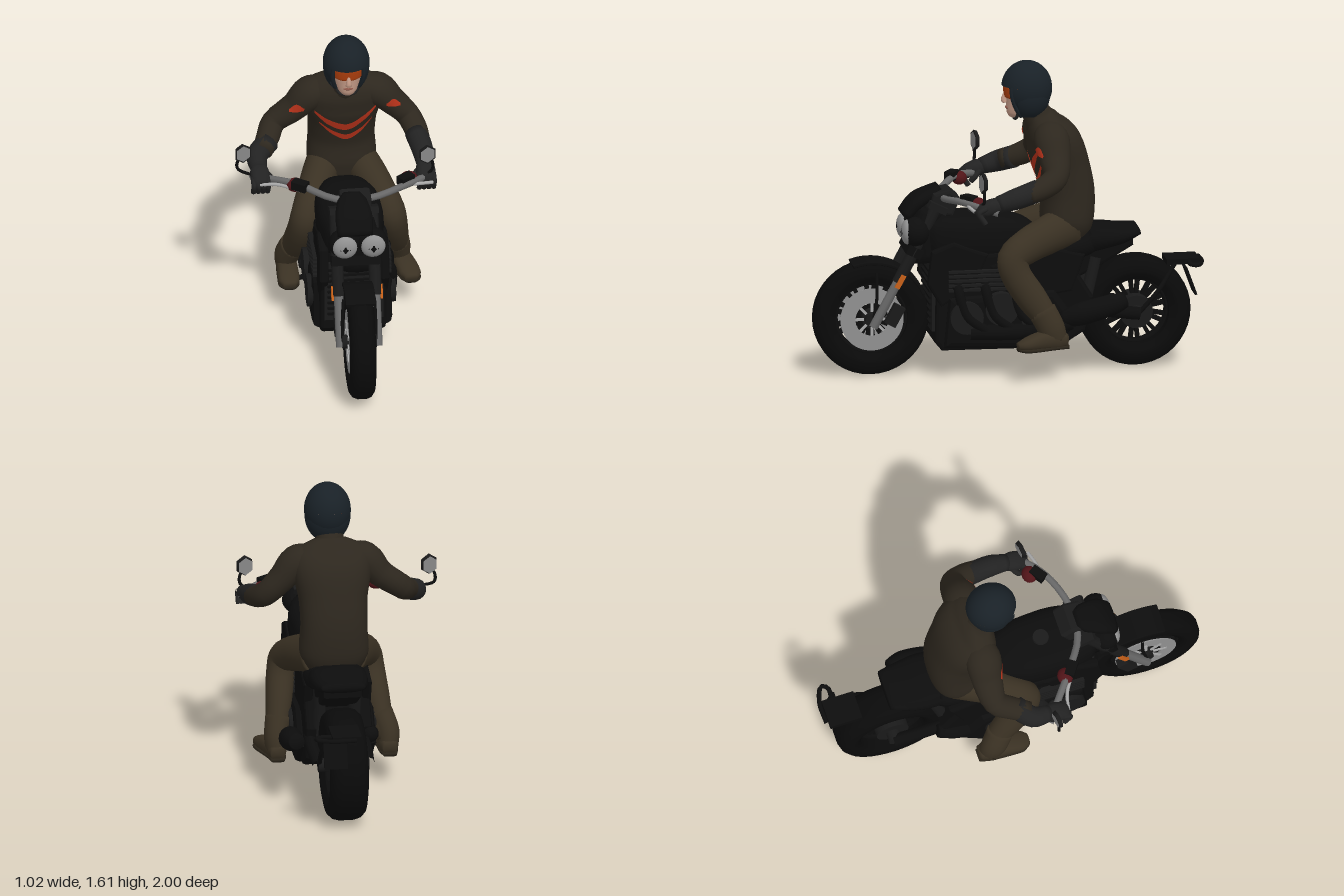
import * as THREE from 'three';

const V = (a) => new THREE.Vector3(a[0], a[1], a[2]);
const BLACK = 0x0d0d0d, TYRE = 0x0a0a0a, STEEL = 0x1a1a1a, BAR = 0x686868, CHROME = 0xa8a8a8, SUIT = 0x2d271e,
  TROUSER = 0x3a3123, GLOVE = 0x222222, HELMET = 0x192127, RED = 0xb8321a, SKIN = 0xc49a86;

function add(parent, name, geo, color, pos, rot, scale, thin) {
  const m = new THREE.Mesh(geo, new THREE.MeshStandardMaterial({ color, side: thin ? THREE.DoubleSide : THREE.FrontSide }));
  m.name = name;
  if (pos) m.position.set(...pos);
  if (rot) m.rotation.set(...rot);
  if (scale) m.scale.set(...scale);
  parent.add(m);
  return m;
}
function group(parent, name, pos) {
  const g = new THREE.Group();
  g.name = name;
  g.position.set(...pos);
  parent.add(g);
  return g;
}

// Smooth skin through rings [x, y, z, half width, half depth]; p > 2 squares the section off
function loft(rings, p = 2, seg = 16, steps = 4) {
  const path = new THREE.CatmullRomCurve3(rings.map(V));
  const radii = new THREE.CatmullRomCurve3(rings.map((r) => V([r[3], r[4] ?? r[3], 0])));
  const n = (rings.length - 1) * steps, pos = [], idx = [];
  const bend = (v) => Math.sign(v) * Math.abs(v) ** (2 / p);
  for (let i = 0; i <= n; i++) {
    const c = path.getPoint(i / n), r = radii.getPoint(i / n), t = path.getTangent(i / n);
    const s = new THREE.Vector3(1, 0, 0).addScaledVector(t, -t.x).normalize();
    const o = t.clone().cross(s);
    for (let j = 0; j < seg; j++) {
      const a = (j / seg) * Math.PI * 2;
      pos.push(...c.clone().addScaledVector(s, bend(Math.cos(a)) * r.x).addScaledVector(o, bend(Math.sin(a)) * r.y).toArray());
    }
  }
  for (let i = 0; i < n; i++) for (let j = 0; j < seg; j++) {
    const k = (j + 1) % seg, a = i * seg, b = a + seg;
    idx.push(a + j, a + k, b + k, a + j, b + k, b + j);
  }
  pos.push(...path.getPoint(0).toArray(), ...path.getPoint(1).toArray());
  const c0 = (n + 1) * seg;
  for (let j = 0; j < seg; j++) {
    const k = (j + 1) % seg;
    idx.push(c0, k, j, c0 + 1, n * seg + j, n * seg + k);
  }
  const g = new THREE.BufferGeometry();
  g.setAttribute('position', new THREE.Float32BufferAttribute(pos, 3));
  g.setIndex(idx);
  g.computeVertexNormals();
  return g;
}
const tube = (pts, r) => new THREE.TubeGeometry(new THREE.CatmullRomCurve3(pts.map(V)), 20, r, 8);
const ball = () => new THREE.SphereGeometry(1, 20, 14);
const axle = (r, w, n = 24) => new THREE.CylinderGeometry(r, r, w, n).rotateZ(Math.PI / 2);

// Side outline of (z, y) points, extruded across x
function slab(pts, width, bevel = 0.015) {
  const g = new THREE.ExtrudeGeometry(new THREE.Shape(pts.map((p) => new THREE.Vector2(...p))),
    { depth: width - 2 * bevel, bevelSize: bevel, bevelThickness: bevel, bevelSegments: 2 });
  return g.translate(0, 0, bevel - width / 2).rotateY(-Math.PI / 2);
}
const arc = (r, a0, a1, n = 12) => Array.from({ length: n + 1 }, (_, i) => {
  const a = a0 + (a1 - a0) * i / n;
  return [r * Math.cos(a), r * Math.sin(a)];
});

function wheel(parent, name, R, w, rim, hub, z, y) {
  const g = group(parent, name, [0, y, z]);
  const half = [[rim, .75], [rim + .03, .95], [R - .07, 1], [R - .035, .93], [R - .012, .7], [R - .002, .35]]
    .map(([r, k]) => [r, k * w / 2]);
  const prof = [...half.map(([r, x]) => [r, -x]), ...half.reverse(), [rim, -.375 * w]];
  add(g, 'tyre', new THREE.LatheGeometry(prof.map((p) => new THREE.Vector2(...p)), 40).rotateZ(Math.PI / 2), TYRE, null, null, null, true);
  add(g, 'rim', new THREE.TorusGeometry(rim - .005, .013, 8, 40).rotateY(Math.PI / 2), BLACK, null, null, [2.5, 1, 1]);
  add(g, 'hub', axle(hub, w * .8), STEEL);
  add(g, 'axleEnd', axle(.035, w * 1.3), STEEL);
  for (let i = 0; i < 20; i++) {
    const a = Math.floor(i / 2) * Math.PI / 5 + (i % 2 ? .12 : -.12);
    add(g, 'spoke', new THREE.BoxGeometry(.035, rim, .02), BLACK, [0, Math.cos(a) * rim / 2, Math.sin(a) * rim / 2], [a, 0, 0]);
  }
  return g;
}

function buildBike(bike) {
  const steer = group(bike, 'frontEnd', [-.004, 0, 0]);
  steer.rotation.y = -.02;
  const body = group(bike, 'engineAndTank', [-.013, 0, 0]);
  const front = wheel(steer, 'frontWheel', .298, .135, .185, .05, .702, .304);
  wheel(bike, 'rearWheel', .288, .2, .17, .085, -.652, .298);
  const disc = new THREE.Shape().absarc(0, 0, .162, 0, Math.PI * 2);
  disc.holes.push(new THREE.Path().absarc(0, 0, .085, 0, Math.PI * 2, true));
  for (const s of [-1, 1]) {
    // Brake discs and fork legs
    add(front, 'brakeDisc', new THREE.ExtrudeGeometry(disc, { depth: .006, bevelEnabled: false, curveSegments: 24 }).rotateY(Math.PI / 2), 0x909090, [s * .06, 0, 0]);
    for (let i = 0; i < 8; i++) {
      const a = i * Math.PI / 4;
      add(front, 'discArm', new THREE.BoxGeometry(.008, .07, .014), CHROME, [s * .06, Math.cos(a) * .075, Math.sin(a) * .075], [a, 0, 0]);
    }
    add(steer, 'forkLower', tube([[s * .095, .27, .7], [s * .095, .4, .63], [s * .095, .53, .56]], .024), BAR);
    add(steer, 'forkUpper', tube([[s * .095, .5, .575], [s * .095, .68, .48], [s * .095, .88, .38]], .031), STEEL);
    add(steer, 'brakeCaliper', new THREE.BoxGeometry(.045, .11, .06), STEEL, [s * .095, .33, .59], [-.5, 0, 0]);
    add(steer, 'reflector', new THREE.BoxGeometry(.012, .075, .026), 0xc86018, [s * .125, .51, .565], [-.5, 0, 0]);
    add(steer, 'fenderStay', tube([[s * .079, .55, .68], [s * .085, .42, .68], [s * .085, .3, .7]], .008), BLACK);
    // Headlamps
    add(bike, 'headlampShell', ball(), BLACK, [s * .072, .76, .485], null, [.08, .076, .075]);
    add(bike, 'headlampLens', ball(), 0x909090, [s * .072, .76, .525], null, [.064, .064, .034]);
    // Rear linkage, footpegs and side panels
    add(bike, 'swingArm', tube([[s * .12, .34, -.25], [s * .135, .33, -.45], [s * .125, .3, -.66]], .034), BLACK);
    add(bike, 'shock', tube([[s * .09, .34, -.38], [s * .09, .6, -.44]], .032), STEEL);
    add(bike, 'footpeg', tube([[s * .17, .19, -.1], [s * .32, .18, -.1]], .014), BLACK);
    add(body, 'sideCover', slab([[.1, .58], [-.2, .66], [-.36, .62], [-.3, .45], [-.1, .42], [.08, .46]], .05), BLACK, [s * .15, 0, 0]);
    add(body, 'radiatorShroud', slab([[.4, .66], [.42, .5], [.36, .4], [.2, .5], [.14, .64], [.3, .7]], .05), BLACK, [s * .155, 0, 0]);
    for (const z of [.24, .06, -.12])
      add(body, 'engineCover', axle(.085, .05), STEEL, [s * .2, z === .06 ? .37 : .33, z]);
    for (let i = 0; i < 5; i++)
      add(body, 'coolingFin', new THREE.BoxGeometry(.05, .012, .38), STEEL, [s * .175, .47 + i * .024, .14]);
  }
  add(steer, 'frontFender', slab([...arc(.298, 1.25, 2.7), ...arc(.29, 2.7, 1.25)], .155, .005), BLACK, [0, .304, .702]);
  add(steer, 'lowerYoke', new THREE.BoxGeometry(.25, .05, .08), BLACK, [0, .66, .49], [-.45, 0, 0]);
  add(steer, 'upperYoke', new THREE.BoxGeometry(.25, .035, .1), STEEL, [0, .885, .37], [-.45, 0, 0]);
  add(bike, 'barClamp', slab([[.4, .86], [.3, .85], [.27, .92], [.31, .955], [.38, .94]], .16), STEEL);
  add(bike, 'headStock', loft([[0, .6, .42, .1, .09], [0, .76, .43, .11, .08], [0, .86, .4, .09, .06]], 3), BLACK);
  add(bike, 'instrumentCowl', loft([[-.02, .83, .53, .09, .03], [-.02, .9, .47, .095, .035], [-.02, .95, .38, .075, .03], [-.02, .975, .35, .045, .02]], 3), BLACK);

  // Engine, radiator, tank, seat
  add(body, 'engine', slab([[.37, .62], [.375, .2], [.35, .17], [-.24, .165], [-.36, .24], [-.4, .4], [-.3, .56], [-.1, .64]], .34, .02), BLACK);
  add(body, 'crankcase', slab([[.3, .4], [.32, .2], [-.2, .18], [-.3, .28], [-.2, .42]], .41, .03), BLACK);
  add(body, 'radiator', new THREE.BoxGeometry(.3, .34, .03), STEEL, [0, .42, .395]);
  for (let i = 0; i < 9; i++) add(body, 'radiatorSlat', new THREE.BoxGeometry(.27, .012, .012), BLACK, [0, .29 + i * .033, .414]);
  add(body, 'tank', loft([[0, .71, .425, .11, .1], [0, .715, .38, .145, .12], [0, .715, .22, .172, .125],
    [0, .712, .06, .165, .122], [0, .7, -.06, .125, .1], [0, .67, -.15, .09, .06]], 3, 24), BLACK);
  add(body, 'fuelCap', new THREE.CylinderGeometry(.04, .045, .014, 20), STEEL, [0, .84, .16]);
  add(bike, 'riderSeat', loft([[0, .64, -.08, .1, .06], [0, .64, -.22, .15, .06], [0, .66, -.36, .16, .07], [0, .69, -.43, .14, .07]], 2.7), BLACK);
  add(bike, 'pillionSeat', loft([[0, .67, -.36, .14, .07], [0, .69, -.46, .15, .066], [0, .7, -.58, .135, .045], [0, .72, -.67, .11, .02]], 2.7), BLACK);
  add(bike, 'subframe', slab([[-.2, .6], [-.62, .69], [-.62, .66], [-.45, .56], [-.25, .46]], .2), BLACK);

  // Exhaust on the left, smaller silencer on the right
  for (const z of [.28, .14, 0])
    add(bike, 'exhaustHeader', tube([[.14, .5, z], [.185, .47, z], [.2, .34, z - .04], [.2, .26, z - .14]], .026), BLACK);
  add(bike, 'collector', tube([[.18, .25, .22], [.2, .25, -.05], [.2, .29, -.3]], .042), BLACK);
  add(bike, 'silencer', loft([[.19, .3, -.25, .04], [.23, .34, -.36, .06], [.24, .38, -.5, .055], [.225, .4, -.57, .04]]), BLACK);
  add(bike, 'rightSilencer', loft([[-.16, .28, -.2, .035], [-.18, .33, -.33, .045], [-.17, .37, -.44, .035]]), BLACK);

  // Plate bracket hung over the rear tyre
  add(bike, 'bracketArm', new THREE.BoxGeometry(.15, .028, .17), BLACK, [.025, .556, -.89]);
  add(bike, 'bracketStay', tube([[.125, .3, -.655], [.125, .42, -.76], [.09, .55, -.85]], .012), BLACK);
  add(bike, 'tailLoop', tube([[-.02, .555, -.985], [.1, .555, -.985], [.18, .555, -.95], [.16, .555, -.92], [.02, .555, -.935]], .012), BLACK);
  add(bike, 'plate', new THREE.BoxGeometry(.12, .15, .012), BLACK, [.08, .46, -.925], [.35, 0, 0]);

  // Handlebar, levers and mirrors
  add(bike, 'handlebar', tube([[-.5, .92, .05], [-.42, .935, .11], [-.28, .96, .22], [-.1, .93, .33], [.08, .93, .34],
    [.25, .95, .28], [.37, .94, .19], [.42, .92, .11]], .018), BAR);
  for (const [s, hx, hz, mx, mz] of [[-1, -.45, .08, -.545, .075], [1, .39, .15, .385, .185]]) {
    add(bike, 'lever', tube([[s * .27, .94, .25], [hx * .85, .94, hz + .1], [hx * 1.05, .93, hz + .08]], .009), CHROME);
    add(bike, 'reservoir', new THREE.BoxGeometry(.08, .045, .05), BLACK, [s * .27, .965, .24], [0, s * .6, 0]);
    add(bike, 'switchBox', ball(), 0x501418, [s * .29, .945, .2], null, [.045, .035, .04]);
    add(bike, 'mirrorStalk', tube([[hx * .9, .94, hz + .05], [mx + s * .025, .98, mz], [mx + s * .025, 1.03, mz], [mx, 1.06, mz]], .008), BLACK);
    const mirror = group(bike, 'mirror', [mx, 1.075, mz]);
    mirror.rotation.y = .2;
    mirror.scale.set(.95, 1.1, 1);
    add(mirror, 'mirrorShell', new THREE.CylinderGeometry(.05, .044, .02, 6).rotateX(Math.PI / 2), STEEL);
    for (const f of [-1, 1])
      add(mirror, 'mirrorGlass', new THREE.CircleGeometry(.043, 6).rotateZ(Math.PI / 6), 0x888888, [0, 0, f * .012], [0, f < 0 ? Math.PI : 0, 0]);
  }
}

function buildRider(rider) {
  const torso = add(rider, 'jacket', loft([[0, .7, -.29, .14, .11], [0, .8, -.305, .178, .135], [0, .93, -.31, .17, .135], [0, 1.06, -.28, .175, .14],
    [0, 1.18, -.24, .2, .14], [0, 1.26, -.2, .205, .11], [0, 1.31, -.18, .165, .08], [0, 1.345, -.165, .08, .055]], 2.4, 28), SUIT);
  add(rider, 'neck', loft([[0, 1.28, -.18, .085], [0, 1.36, -.14, .07], [0, 1.42, -.11, .06]]), SUIT);
  const sleeves = [];
  for (const s of [-1, 1]) {
    const left = s > 0, ex = left ? .35 : -.385, hx = left ? .382 : -.46, hz = left ? .14 : .09;
    // Arm, cuff and gloved hand
    sleeves.push(add(rider, 'sleeve', loft([[s * .1, 1.26, -.2, .07, .075], [s * .175, 1.235, -.2, .086, .092], [s * .25, 1.155, -.205, .07, .08],
      [ex * .93, 1.075, -.195, .062, .064], [ex + s * .01, 1.03, -.125, .06, .058], [(ex + hx) / 2 + s * .01, 1.0, -.04, .052, .05]], 2, 18), SUIT));
    add(rider, 'cuff', loft([[ex + s * .01, 1.02, -.1, .058], [hx, .985, hz - .12, .055], [hx, .96, hz - .03, .042]]), GLOVE);
    add(rider, 'hand', loft([[hx, .965, hz - .06, .035, .03], [hx, .95, hz, .05, .04], [hx, .93, hz + .045, .045, .035], [hx, .91, hz + .06, .035, .02]], 2.5), GLOVE);
    for (let i = 0; i < 4; i++)
      add(rider, 'finger', tube([[hx + (i - 1.5) * .024, .95, hz + .03], [hx + (i - 1.5) * .024, .925, hz + .07], [hx + (i - 1.5) * .024, .87, hz + .04]], .014), GLOVE);
    add(rider, 'thumb', tube([[hx - s * .03, .95, hz - .02], [hx - s * .06, .92, hz + .01], [hx - s * .05, .895, hz + .03]], .015), GLOVE);
    // Leg and boot
    const fx = left ? .28 : -.295, toe = left ? .325 : -.295;
    add(rider, 'trouserLeg', loft([[s * .08, .77, -.31, .09, .11], [s * .125, .735, -.2, .09, .1], [s * .175, .69, -.08, .082, .09], [s * .215, .635, .005, .076, .08],
      [s * .23, .56, -.005, .074, .078], [s * .25, .44, -.08, .068, .078], [s * .27, .33, -.155, .058, .064], [fx, .25, -.19, .056, .06]], 2, 20), TROUSER);
    add(rider, 'bootShaft', loft([[s * .263, .37, -.135, .064, .072], [fx, .28, -.18, .06, .07], [fx, .21, -.2, .052, .065]]), TROUSER);
    add(rider, 'boot', loft([[fx, .215, -.265, .035, .03], [fx, .22, -.21, .052, .05], [(fx + toe) / 2, .22, -.12, .055, .045],
      [toe, .208, -.04, .054, .03], [toe, .2, 0, .03, .018]], 2.5), TROUSER);
    add(rider, 'sole', loft([[fx, .183, -.27, .035, .01], [fx, .183, -.2, .05, .012], [toe, .183, -.05, .055, .012], [toe, .187, 0, .03, .01]], 3), 0x2a241a);
  }

  // Bands draped on the cloth: points are [x, y, half height]
  const ray = new THREE.Raycaster();
  const drape = (name, target, pts) => {
    target.updateMatrixWorld();
    const curve = new THREE.CatmullRomCurve3(pts.map(V), false, 'centripetal'), pos = [], idx = [];
    for (let i = 0; i <= 24; i++) {
      const q = curve.getPoint(i / 24);
      for (let k = 0; k < 4; k++) {
        const y = q.y + q.z * (k * 2 / 3 - 1);
        ray.set(V([q.x, y, 1]), V([0, 0, -1]));
        const hit = ray.intersectObject(target)[0];
        pos.push(q.x, y, (hit ? hit.point.z : -.2) + .004);
        if (i && k) { const b = i * 4 + k; idx.push(b - 5, b - 1, b, b - 5, b, b - 4); }
      }
    }
    const g = new THREE.BufferGeometry();
    g.setAttribute('position', new THREE.Float32BufferAttribute(pos, 3));
    g.setIndex(idx);
    g.computeVertexNormals();
    add(rider, name, g, RED, null, null, null, true);
  };
  drape('chestStripe', torso, [[-.155, 1.16, .008], [-.08, 1.095, .02], [.01, 1.06, .022], [.09, 1.11, .02], [.16, 1.175, .008]]);
  drape('lowerStripe', torso, [[-.13, 1.085, .005], [-.06, 1.02, .014], [.01, .985, .018], [.08, 1.025, .014], [.14, 1.095, .005]]);
  sleeves.forEach((m, i) => { const s = i ? 1 : -1; drape('sleeveStripe', m, [[s * .21, 1.19, .008], [s * .245, 1.195, .022], [s * .285, 1.175, .006]]); });

  // Head, goggles and open-front helmet
  const head = group(rider, 'head', [.003, 1.475, -.1]);
  add(head, 'face', loft([[0, -.15, .05, .03, .035], [0, -.125, .05, .05, .055], [0, -.06, .035, .072, .075], [0, .02, .03, .078, .08], [0, .08, .02, .06, .06]]), SKIN);
  add(head, 'nose', loft([[0, -.072, .115, .016, .012], [0, -.058, .117, .014, .016], [0, -.015, .107, .008, .01]]), SKIN);
  add(head, 'lips', ball(), 0x8a5548, [0, -.098, .1], null, [.025, .007, .012]);
  add(head, 'goggles', loft([[0, -.046, .04, .068, .07], [0, -.036, .04, .08, .078], [0, .01, .04, .084, .08], [0, .025, .04, .078, .07]], 2.2, 24), 0xa83c0c);
  const gap = .72;
  const shell = (t0, t1, open) => new THREE.SphereGeometry(1, 28, 12, -Math.PI * 1.5 + open, Math.PI * 2 - 2 * open, t0, t1 - t0);
  for (const [name, geo] of [['helmetCrown', shell(0, 1.45, 0)], ['helmetSides', shell(1.45, 2.7, gap)]])
    add(head, name, geo, HELMET, null, null, [.119, .141, .13], true);
  add(head, 'helmetSkirt', shell(1.57, 2.5, .95), HELMET, [0, -.03, -.005], null, [.117, .14, .115], true);
  for (const s of [-1, 1]) {
    add(head, 'cheekEdge', tube([[s * .077, .02, .092], [s * .078, -.04, .085], [s * .066, -.1, .062], [s * .045, -.14, .035]], .011), HELMET);
    add(head, 'chinStrap', tube([[s * .066, -.1, .05], [s * .04, -.148, .06], [0, -.158, .065]], .008), GLOVE);
  }
}

export function createModel() {
  const model = new THREE.Group();
  model.name = 'motorcycleWithRider';
  buildBike(group(model, 'motorcycle', [.075, 0, 0]));
  buildRider(group(model, 'rider', [.075, 0, 0]));
  return model;
}
